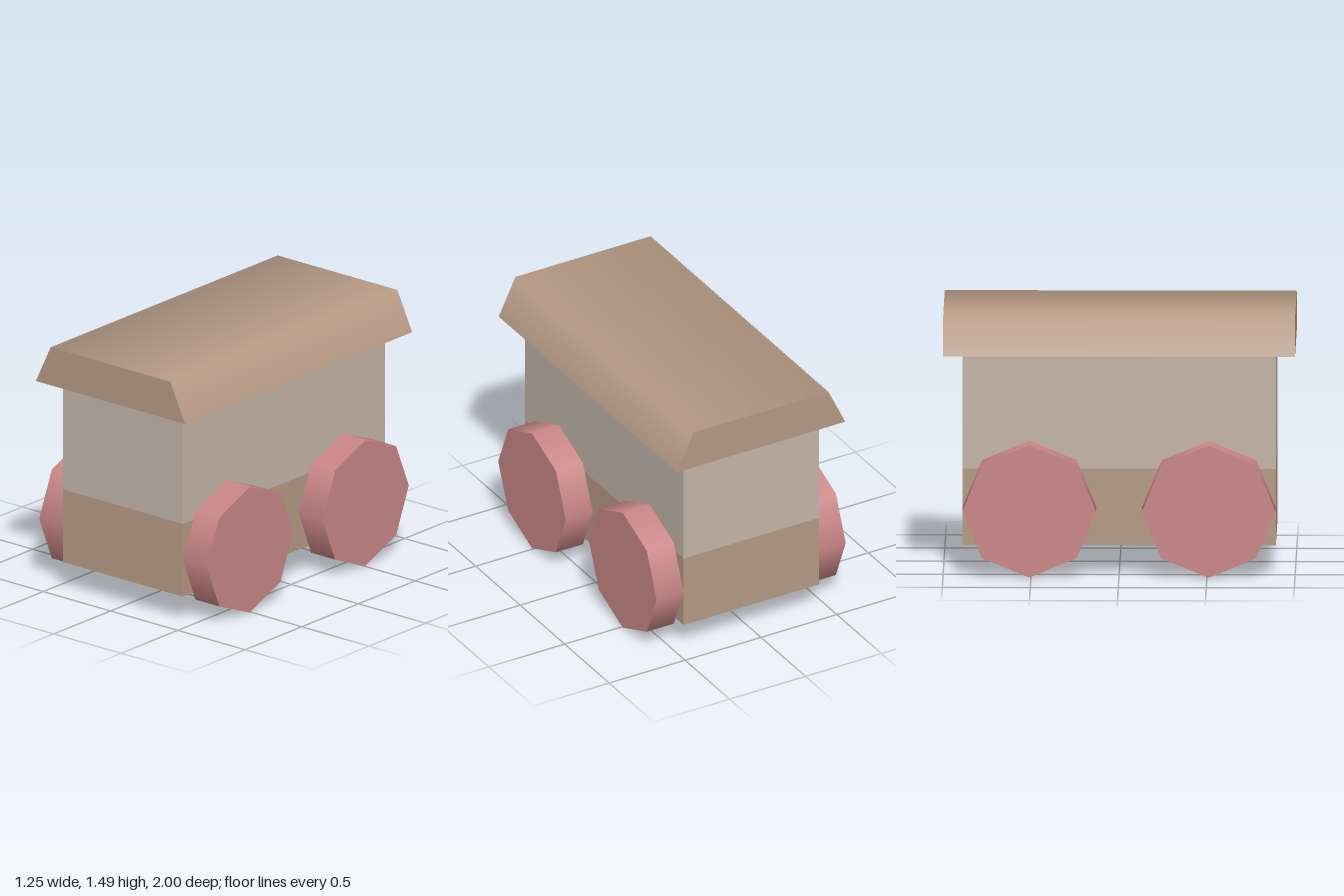
import * as THREE from 'three';

export function createModel() {
  const group = new THREE.Group();
  const flat = (name, color) => new THREE.MeshStandardMaterial({ name, color });
  const brown = flat('brown wood', 0xb59984);
  const grey = flat('warm grey', 0xc3b4a9);
  const rose = flat('dusty rose', 0xc98686);

  const add = (name, geometry, material, x, y, z) => {
    const mesh = new THREE.Mesh(geometry, material);
    mesh.name = name;
    mesh.position.set(x, y, z);
    group.add(mesh);
    return mesh;
  };

  // Wagon body in two colour bands
  add('lowerBody', new THREE.BoxGeometry(0.89, 0.44, 1.78), brown, 0, 0.38, 0);
  add('upperBody', new THREE.BoxGeometry(0.89, 0.66, 1.78), grey, 0, 0.93, 0);

  // Roof: a trapezoid run along the wagon
  const eave = 0.555, ridge = 0.445, height = 0.23;
  const profile = new THREE.Shape([
    new THREE.Vector2(-eave, 0), new THREE.Vector2(eave, 0),
    new THREE.Vector2(ridge, height), new THREE.Vector2(-ridge, height),
  ]);
  const roof = new THREE.ExtrudeGeometry(profile, { depth: 2, bevelEnabled: false });
  roof.translate(0, 0, -1);

  // Soften the shading where the slopes meet the top
  const slope = new THREE.Vector3(height, eave - ridge, 0).normalize();
  const soft = slope.clone().add(new THREE.Vector3(0, 1, 0)).normalize();
  const { position, normal } = roof.attributes;
  for (let i = 0; i < position.count; i++) {
    if (position.getY(i) > height / 2 && normal.getY(i) > 0.1) {
      normal.setXYZ(i, Math.sign(position.getX(i)) * soft.x, soft.y, 0);
    }
  }
  add('roof', roof, brown, 0, 1.26, 0);

  // Four eight-sided wheels
  const wheel = new THREE.CylinderGeometry(0.38, 0.38, 0.178, 8);
  wheel.rotateZ(Math.PI / 2);
  for (const [side, x] of [['left', 1], ['right', -1]]) {
    for (const [end, z] of [['Front', 1], ['Back', -1]]) {
      add(`${side}${end}Wheel`, wheel, rose, x * 0.534, 0.38, z * 0.51);
    }
  }
  return group;
}
